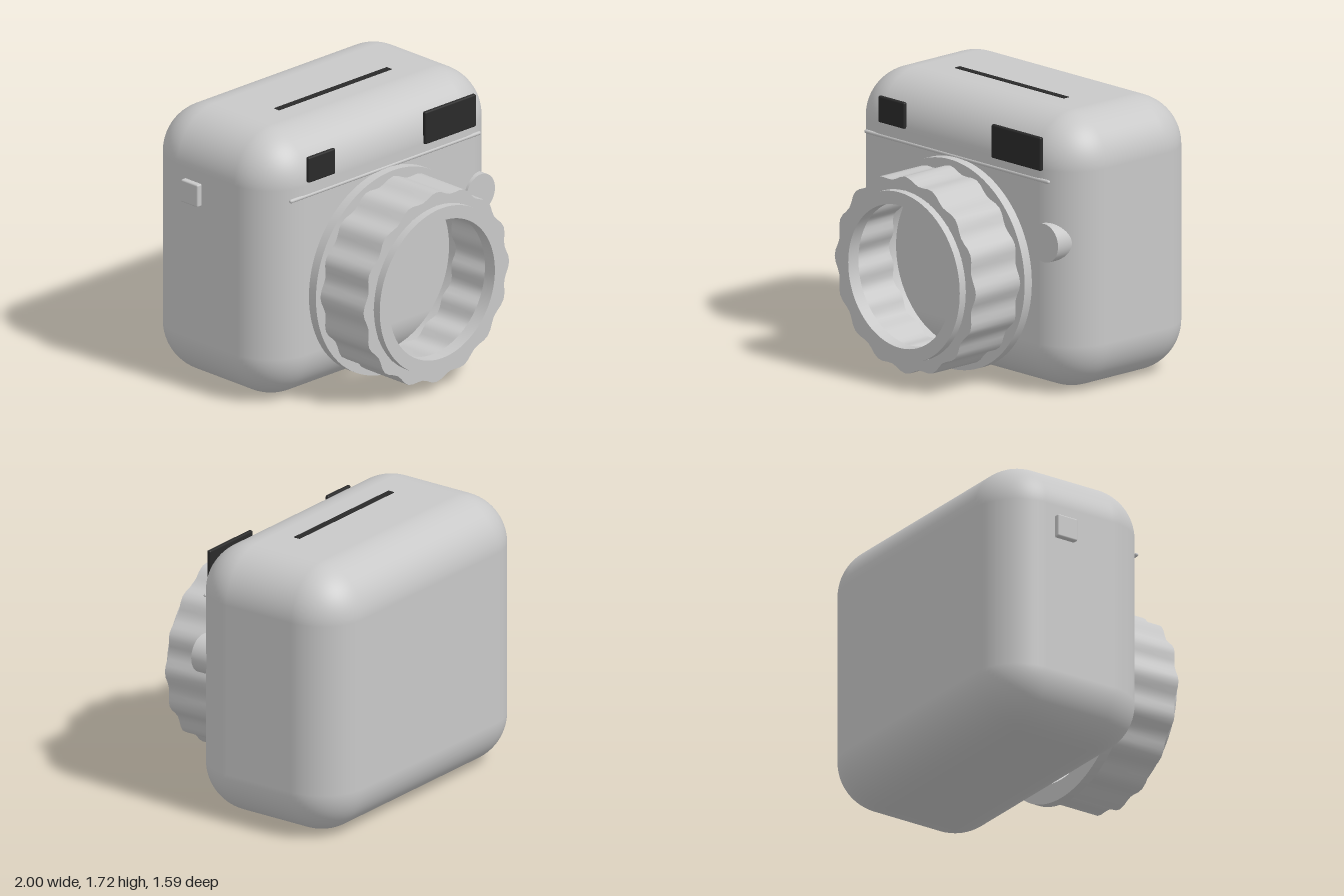
import * as THREE from 'three';
import { toCreasedNormals } from 'three/addons/utils/BufferGeometryUtils.js';
import { RoundedBoxGeometry } from 'three/addons/geometries/RoundedBoxGeometry.js';

const shell = new THREE.MeshStandardMaterial({ color: 0xc8c8c8 });
shell.name = 'light grey shell';
const dark = new THREE.MeshStandardMaterial({ color: 0x2a2a2a });
dark.name = 'dark glass';

export function createModel() {
  const model = new THREE.Group();
  const add = (name, geometry, material, x, y, z, parent = model) => {
    const mesh = new THREE.Mesh(geometry, material);
    mesh.name = name;
    mesh.position.set(x, y, z);
    parent.add(mesh);
    return mesh;
  };

  // Outline of a circle whose radius ripples with a number of lobes
  const outline = (radius, wave = 0, lobes = 16, steps = 96) =>
    Array.from({ length: steps }, (_, i) => {
      const a = (i / steps) * Math.PI * 2;
      const r = radius + wave * Math.cos(lobes * a);
      return new THREE.Vector2(r * Math.cos(a), r * Math.sin(a));
    });
  const ring = (outer, inner, depth) => {
    const shape = new THREE.Shape(outer);
    shape.holes.push(new THREE.Path(inner));
    const g = new THREE.ExtrudeGeometry(shape, { depth, bevelEnabled: false });
    return toCreasedNormals(g, 0.6);
  };

  // Body with large soft corners
  add('body', new RoundedBoxGeometry(1.965, 1.715, 1.105, 10, 0.31), shell, 0.017, 0.858, -0.238);

  // Hollow lens: base plate, rippled grip barrel and front rim
  const lens = new THREE.Group();
  lens.name = 'lens';
  lens.position.set(0.015, 0.683, 0);
  model.add(lens);
  add('lensBasePlate', ring(outline(0.653), outline(0.53), 0.06), shell, 0, 0, 0.315, lens);
  add('lensBarrel', ring(outline(0.6, 0.015), outline(0.515, 0.015), 0.37), shell, 0, 0, 0.375, lens);
  add('lensRim', ring(outline(0.527), outline(0.445), 0.085), shell, 0, 0, 0.71, lens);

  // Viewfinder and flash windows
  add('flashWindow', new RoundedBoxGeometry(0.43, 0.21, 0.027, 2, 0.01), dark, 0.545, 1.505, 0.319);
  add('viewfinderWindow', new RoundedBoxGeometry(0.228, 0.165, 0.027, 2, 0.01), dark, -0.542, 1.508, 0.319);

  // Thin trim bar above the lens
  const trim = add('trimBar', new THREE.CapsuleGeometry(0.012, 1.585, 6, 12), shell, 0.011, 1.338, 0.308);
  trim.rotation.z = Math.PI / 2;

  // Shutter button, sunk into the rounded front corner
  const button = add('shutterButton', new THREE.CylinderGeometry(0.12, 0.12, 0.24, 48), shell, 0.795, 0.96, 0.213);
  button.rotation.x = Math.PI / 2;

  // Side switch and print slot
  add('sideSwitch', new RoundedBoxGeometry(0.06, 0.145, 0.145, 2, 0.01), shell, -0.97, 1.263, -0.347);
  add('printSlot', new THREE.BoxGeometry(0.95, 0.008, 0.043), dark, 0.015, 1.715, -0.143);

  return model;
}
